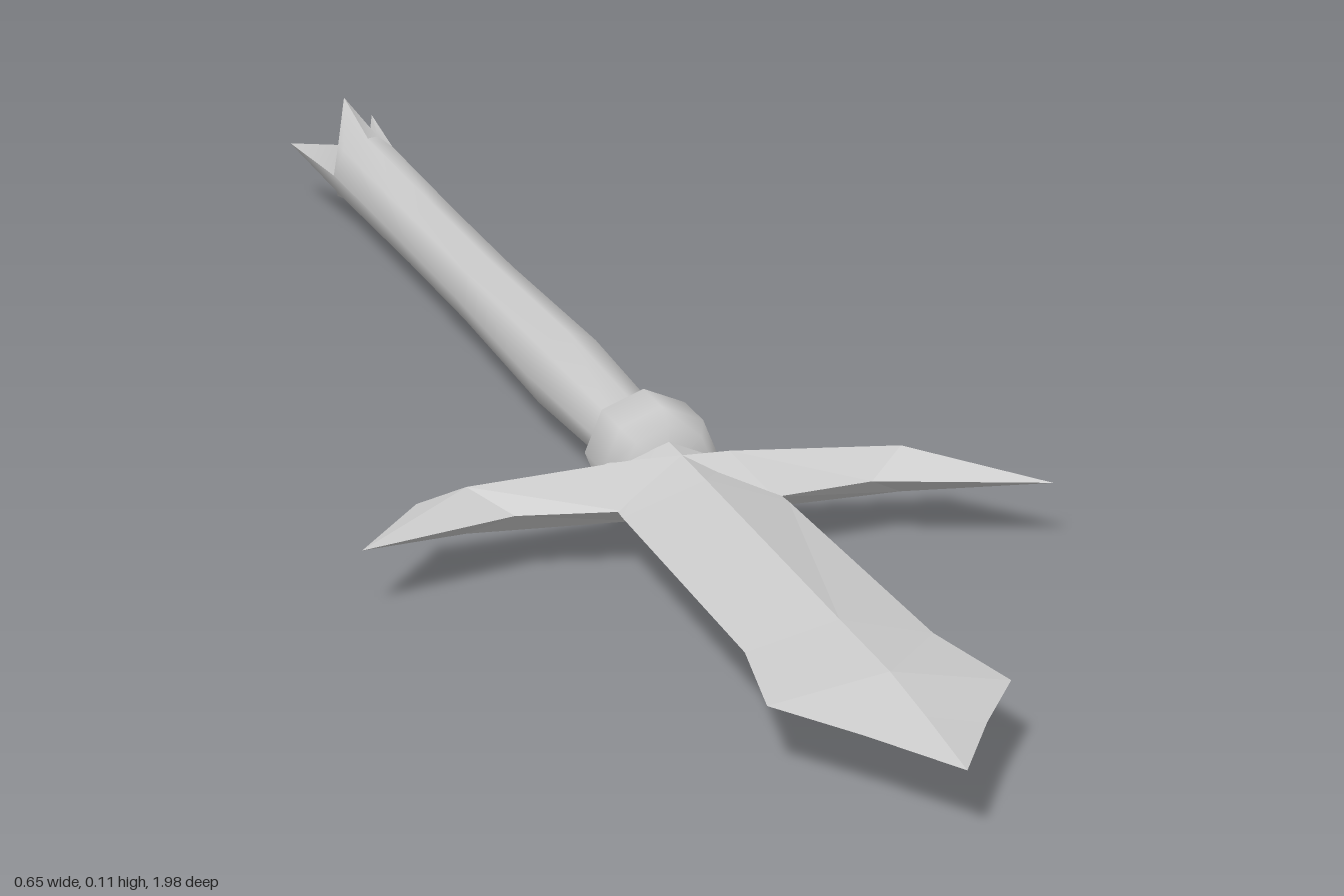
import * as THREE from 'three';
import { toCreasedNormals } from 'three/addons/utils/BufferGeometryUtils.js';

const AXIS_Y = 0.058;

// Skins a row of equal-length cross-sections; rings run counter-clockwise around the sweep axis.
function loft(rings, crease = 0) {
  const pos = [];
  const tri = (a, b, c) => {
    if (new THREE.Triangle(a, b, c).getArea() > 1e-9) for (const p of [a, b, c]) pos.push(p.x, p.y, p.z);
  };
  for (let i = 0; i < rings.length - 1; i++) {
    const r = rings[i], s = rings[i + 1], n = r.length;
    for (let j = 0; j < n; j++) {
      const k = (j + 1) % n;
      tri(r[j], r[k], s[k]);
      tri(r[j], s[k], s[j]);
    }
  }
  const g = new THREE.BufferGeometry();
  g.setAttribute('position', new THREE.Float32BufferAttribute(pos, 3));
  g.computeVertexNormals();
  return crease ? toCreasedNormals(g, crease) : g;
}

const v = (x, y, z) => new THREE.Vector3(x, y, z);

export function createModel() {
  const model = new THREE.Group();
  const smooth = new THREE.MeshStandardMaterial({ color: 0xcccccc, side: THREE.DoubleSide });
  const flat = new THREE.MeshStandardMaterial({ color: 0xcccccc, flatShading: true, side: THREE.DoubleSide });
  const add = (name, geometry, material) => {
    const mesh = new THREE.Mesh(geometry, material);
    mesh.name = name;
    mesh.position.y = AXIS_Y;
    model.add(mesh);
  };

  // Blade: diamond sections [z, half width, half thickness]
  const blade = [
    [0.17, 0, 0], [0.17, 0.07, 0.03], [0.3, 0.078, 0.028], [0.67, 0.084, 0.021],
    [0.8, 0.107, 0.019], [0.89, 0.053, 0.011], [0.99, 0, 0],
  ].map(([z, w, h]) => [v(w, 0, z), v(0, h, z), v(-w, 0, z), v(0, -h, z)]);
  add('blade', loft(blade), flat);

  // Swept guard: each section is [ridge x, ridge z, half height, front x, front z, back x, back z]
  const half = [
    [0.045, 0.23, 0.029, 0.07, 0.285, 0.05, 0.178],
    [0.205, 0.24, 0.022, 0.168, 0.268, 0.243, 0.21],
    [0.323, 0.32, 0, 0.323, 0.32, 0.323, 0.32],
  ];
  const section = (s) => ([rx, rz, h, fx, fz, bx, bz]) =>
    [v(s * rx, h, rz), v(s * fx, 0, fz), v(s * rx, -h, rz), v(s * bx, 0, bz)];
  add('guard', loft([...half.map(section(-1)).reverse(), ...half.map(section(1))]), flat);

  // Rounded eight-sided collar
  const profile = [[0.025, 0.085], [0.044, 0.09], [0.056, 0.112], [0.056, 0.168], [0.044, 0.19], [0, 0.194]];
  const collar = new THREE.LatheGeometry(profile.map(([r, z]) => new THREE.Vector2(r, z)), 8);
  collar.rotateX(Math.PI / 2);
  add('collar', collar, smooth);

  // Shaft with a slight swell, its far end broken into four flared splinters
  const ring = (z, r) => Array.from({ length: 8 }, (_, j) => {
    const a = j * Math.PI / 4;
    return v(r * Math.cos(a), r * Math.sin(a), z);
  });
  const tips = [v(0.042, 0.022, -0.99), v(0.004, 0.052, -0.96), v(-0.052, 0.004, -0.97), v(-0.004, -0.055, -0.96)];
  const notches = [-0.9, -0.88, -0.895, -0.875];
  const broken = ring(-0.88, 0.034).map((p, j) => (j % 2 ? p.setZ(notches[(j - 1) / 2]) : tips[j / 2]));
  const shaft = [
    ring(-0.86, 0), broken,
    ...[[-0.85, 0.037], [-0.6, 0.035], [-0.4, 0.035], [-0.13, 0.04], [0.1, 0.033]].map(([z, r]) => ring(z, r)),
  ];
  add('shaft', loft(shaft, 0.9), smooth);

  return model;
}
